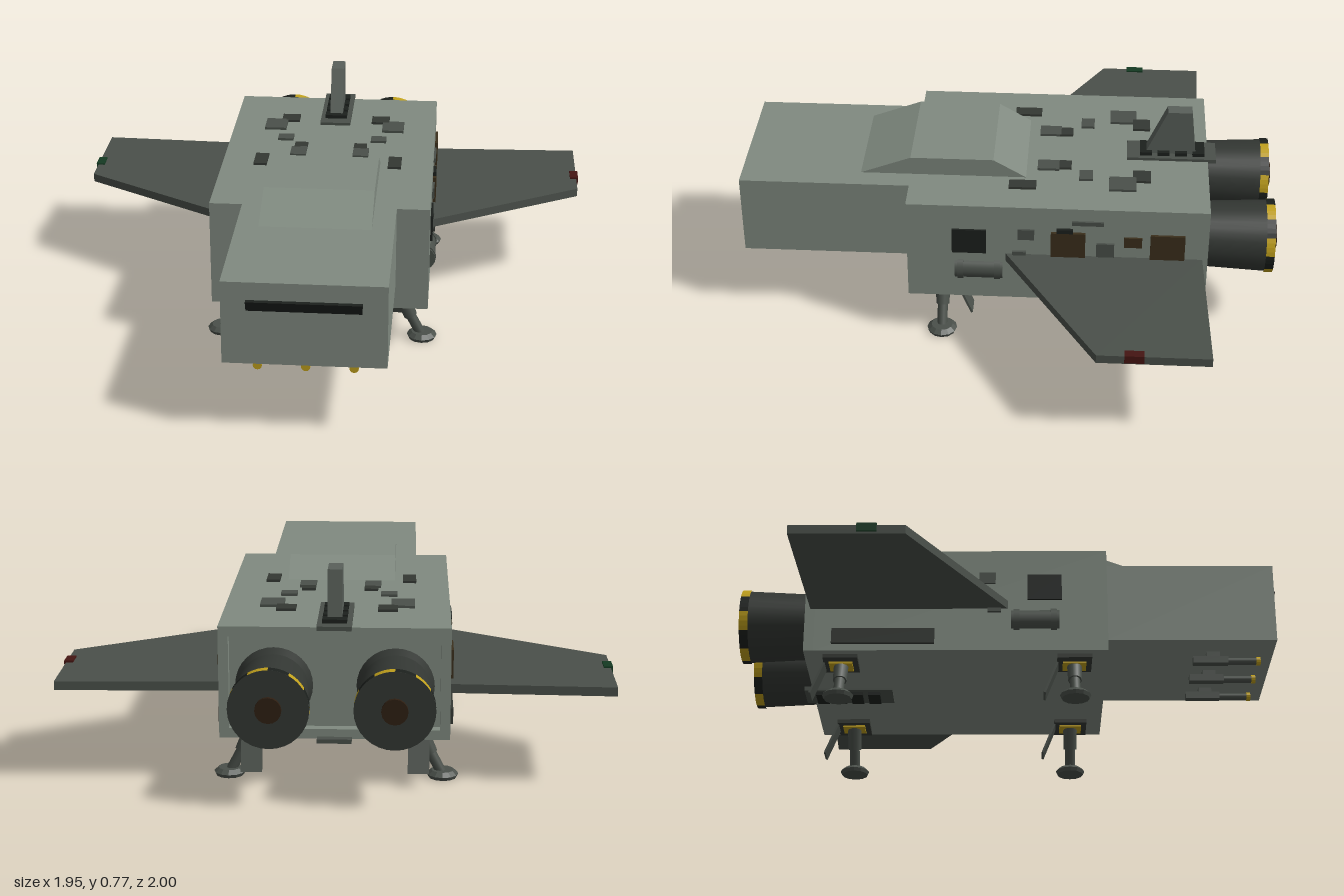
import * as THREE from 'three';

const mat = (color) => new THREE.MeshStandardMaterial({ color, flatShading: true });
const smooth = (color) => new THREE.MeshStandardMaterial({ color });

export function createModel() {
  const root = new THREE.Group();
  root.name = 'dropship';
  const hull = mat(0x808a80), dark = mat(0x4a504a), mid = mat(0x59605a), black = mat(0x1c201d);
  const deep = mat(0x343833), brown = mat(0x3b2f1c), yellow = mat(0xc0a01c);
  const engineMat = smooth(0x333733), roundMid = smooth(0x4a504a);

  function add(name, geo, material, x = 0, y = 0, z = 0, parent = root) {
    const m = new THREE.Mesh(geo, material);
    m.name = name;
    m.position.set(x, y, z);
    parent.add(m);
    return m;
  }
  const box = (name, material, w, h, d, x, y, z, parent) =>
    add(name, new THREE.BoxGeometry(w, h, d), material, x, y, z, parent);
  const shapeOf = (pts) => new THREE.Shape(pts.map(([a, b]) => new THREE.Vector2(a, b)));
  const rect = (x0, y0, x1, y1) => [[x0, y0], [x1, y0], [x1, y1], [x0, y1]];
  const extrude = (shape, depth) => new THREE.ExtrudeGeometry(shape, { depth, bevelEnabled: false });
  // side profile given as [z, y] points, widened evenly across x
  const profile = (pts, w) => extrude(shapeOf(pts), w).rotateY(-Math.PI / 2).translate(w / 2, 0, 0);
  // cylinder lying along z, first radius towards +z
  const cylZ = (rFront, rBack, len, seg) =>
    new THREE.CylinderGeometry(rFront, rBack, len, seg).rotateX(Math.PI / 2);
  // round strut between two points
  function strut(name, a, b, r0, r1, material, parent) {
    const A = new THREE.Vector3(...a), B = new THREE.Vector3(...b), d = B.clone().sub(A);
    const m = add(name, new THREE.CylinderGeometry(r1, r0, d.length(), 10), material, 0, 0, 0, parent);
    m.position.copy(A).add(B).multiplyScalar(0.5);
    m.quaternion.setFromUnitVectors(new THREE.Vector3(0, 1, 0), d.normalize());
    return m;
  }

  // Hull: main body, recessed stern frame, nose and canopy hump
  box('mainHull', hull, 0.8, 0.4, 1.06, 0, 0.38, -0.175);
  const frame = shapeOf(rect(-0.4, 0.18, 0.4, 0.58));
  frame.holes.push(new THREE.Path(rect(-0.365, 0.215, 0.365, 0.545).map((p) => new THREE.Vector2(...p))));
  add('sternFrame', extrude(frame, 0.035), hull, 0, 0, -0.74);
  box('nose', hull, 0.56, 0.305, 0.625, 0, 0.4275, 0.6675);
  add('canopy', profile([[0.54, 0.58], [0.355, 0.65], [0.05, 0.65], [-0.07, 0.58]], 0.4), hull);
  add('visor', profile([[0.975, 0.475], [0.98, 0.475], [0.998, 0.515], [0.975, 0.515]], 0.39), black);

  // Tail fin on its slatted base, with a matching vent plate below
  box('finBase', dark, 0.12, 0.015, 0.33, 0, 0.583, -0.605);
  add('tailFin', profile([[-0.505, 0.588], [-0.585, 0.768], [-0.675, 0.768], [-0.695, 0.588]], 0.05), mid);
  box('ventPlate', dark, 0.12, 0.015, 0.33, 0, 0.18, -0.605);
  for (let i = 0; i < 4; i++) {
    const z = -0.51 - i * 0.065;
    box('finBaseSlat', black, 0.085, 0.014, 0.045, 0, 0.597, z);
    box('ventSlat', black, 0.085, 0.014, 0.045, 0, 0.167, z);
  }

  // Guns beneath the nose
  for (const x of [-0.165, 0, 0.165]) {
    const gun = new THREE.Group();
    gun.name = 'noseGun';
    gun.position.set(x, 0, 0);
    root.add(gun);
    box('gunMount', dark, 0.025, 0.03, 0.05, 0, 0.264, 0.755, gun);
    box('gunBody', dark, 0.03, 0.027, 0.13, 0, 0.243, 0.745, gun);
    add('gunBarrel', cylZ(0.013, 0.013, 0.12, 10), roundMid, 0, 0.241, 0.86, gun);
    add('gunMuzzle', cylZ(0.016, 0.016, 0.015, 12), yellow, 0, 0.241, 0.922, gun);
  }

  // Roof panels: x, z, width, depth, material
  const roofPanels = [
    [0.18, -0.495, 0.07, 0.065, deep], [0.233, -0.425, 0.085, 0.1, dark],
    [0.182, -0.29, 0.06, 0.05, dark], [0.115, -0.21, 0.05, 0.05, deep],
    [0.12, -0.15, 0.06, 0.08, dark], [0.255, -0.06, 0.05, 0.1, deep],
  ];
  // Side panels: z0, z1, y0, y1, thickness, material
  const sidePanels = [
    [0.19, 0.065, 0.38, 0.48, 0.008, black], [-0.17, -0.295, 0.375, 0.48, 0.012, brown],
    [-0.19, -0.25, 0.48, 0.496, 0.012, black], [-0.53, -0.655, 0.375, 0.48, 0.01, brown],
    [-0.05, -0.11, 0.445, 0.488, 0.008, dark], [-0.03, -0.08, 0.33, 0.392, 0.01, dark],
    [-0.335, -0.4, 0.38, 0.437, 0.009, dark], [-0.245, -0.36, 0.514, 0.53, 0.008, dark],
    [-0.435, -0.5, 0.425, 0.466, 0.008, brown], [-0.27, -0.64, 0.205, 0.262, 0.012, deep],
  ];

  for (const s of [1, -1]) {
    for (const [x, z, w, d, m] of roofPanels) box('roofPanel', m, w, 0.02, d, s * x, 0.579, z);
    for (const [z0, z1, y0, y1, t, m] of sidePanels)
      box('sidePanel', m, t + 0.01, y1 - y0, z0 - z1, s * (0.395 + t / 2), (y0 + y1) / 2, (z0 + z1) / 2);

    // Wing with a coloured tip light
    const plan = [[0.39, 0], [0.97, -0.345], [0.97, -0.74], [0.39, -0.72]].map(([x, z]) => [s * x, z]);
    add('wing', extrude(shapeOf(plan), 0.032).rotateX(Math.PI / 2), dark, 0, 0.377, 0);
    box('wingTipLight', mat(s > 0 ? 0x451512 : 0x143a22), 0.032, 0.03, 0.068, s * 0.961, 0.368, -0.475);

    // Canister on the flank with end collars
    add('canister', cylZ(0.045, 0.045, 0.175, 16), roundMid, s * 0.375, 0.302, 0.093);
    for (const z of [0.16, 0.025])
      add('canisterCollar', cylZ(0.053, 0.053, 0.022, 16), roundMid, s * 0.37, 0.302, z);

    // Engine: flared bell, striped rim and core
    const engine = new THREE.Group();
    engine.name = 'engine';
    engine.position.set(s * 0.21, 0.363, 0);
    root.add(engine);
    add('engineCollar', cylZ(0.135, 0.12, 0.05, 32), engineMat, 0, 0, -0.73, engine);
    add('engineBell', cylZ(0.12, 0.134, 0.285, 32), engineMat, 0, 0, -0.8425, engine);
    for (let i = 0; i < 12; i++) {
      const arc = new THREE.CylinderGeometry(0.137, 0.137, 0.032, 4, 1, true, i * Math.PI / 6, Math.PI / 6);
      add('rimStripe', arc.rotateX(Math.PI / 2), i % 2 ? yellow : black, 0, 0, -0.971, engine);
    }
    add('rimFace', new THREE.RingGeometry(0.04, 0.137, 32).rotateY(Math.PI), engineMat, 0, 0, -0.987, engine);
    add('engineCore', cylZ(0.045, 0.045, 0.03, 16), mat(0x2e1f12), 0, 0, -0.985, engine);

    // Landing legs with mount, splayed strut, foot pad and bay door
    for (const z of [0.235, -0.61]) {
      const leg = new THREE.Group();
      leg.name = 'landingLeg';
      leg.position.set(0, 0, z);
      root.add(leg);
      box('legMount', deep, 0.13, 0.018, 0.125, s * 0.305, 0.174, 0, leg);
      box('legHinge', yellow, 0.07, 0.01, 0.085, s * 0.3, 0.163, 0, leg);
      strut('legUpper', [s * 0.3, 0.17, 0], [s * 0.335, 0.09, 0], 0.027, 0.025, roundMid, leg);
      strut('legLower', [s * 0.325, 0.11, 0], [s * 0.372, 0.02, 0], 0.019, 0.019, roundMid, leg);
      add('footPad', new THREE.CylinderGeometry(0.04, 0.056, 0.014, 12), dark, s * 0.378, 0.02, 0, leg);
      add('footSole', new THREE.CylinderGeometry(0.056, 0.05, 0.013, 12), dark, s * 0.378, 0.0065, 0, leg);
      const door = box('bayDoor', dark, 0.075, 0.128, 0.008, s * 0.292, 0.106, -0.085, leg);
      door.rotation.x = 0.38;
    }
  }
  return root;
}
